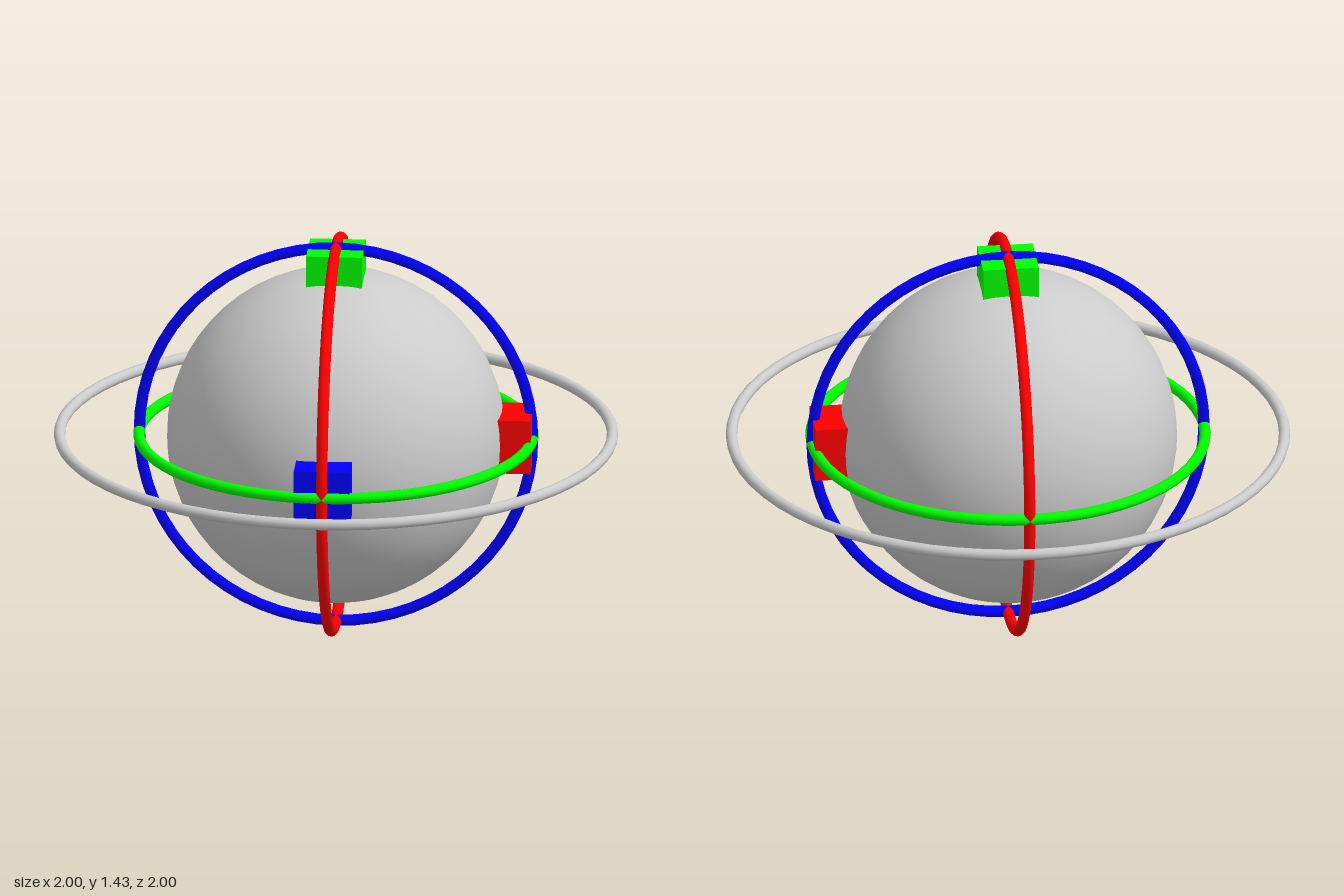
import * as THREE from 'three';

const CENTER_Y = 0.72;

export function createModel() {
  const model = new THREE.Group();
  model.name = 'rotationGizmo';
  const grey = new THREE.MeshStandardMaterial({ color: 0xcccccc });

  const add = (name, geometry, material) => {
    const mesh = new THREE.Mesh(geometry, material);
    mesh.name = name;
    mesh.position.y = CENTER_Y;
    model.add(mesh);
    return mesh;
  };

  // Central ball and the wide horizontal ring around it
  add('centreSphere', new THREE.SphereGeometry(0.598, 48, 32), grey);
  add('outerRing', new THREE.TorusGeometry(0.978, 0.02, 12, 64), grey).rotation.x = Math.PI / 2;

  // One coloured ring per axis, each with a cube handle sunk into the ball
  const axes = [
    { name: 'red', color: 0xff0000, dir: [1, 0, 0], turn: [0, Math.PI / 2, 0] },
    { name: 'green', color: 0x00ff00, dir: [0, 1, 0], turn: [Math.PI / 2, 0, 0] },
    { name: 'blue', color: 0x0000ff, dir: [0, 0, 1], turn: [0, 0, 0] },
  ];
  for (const { name, color, dir, turn } of axes) {
    const material = new THREE.MeshStandardMaterial({ color });
    add(`${name}Ring`, new THREE.TorusGeometry(0.697, 0.02, 12, 64), material).rotation.set(...turn);
    const handle = add(`${name}Handle`, new THREE.BoxGeometry(0.198, 0.198, 0.198), material);
    handle.position.addScaledVector(new THREE.Vector3(...dir), 0.597);
  }

  return model;
}
